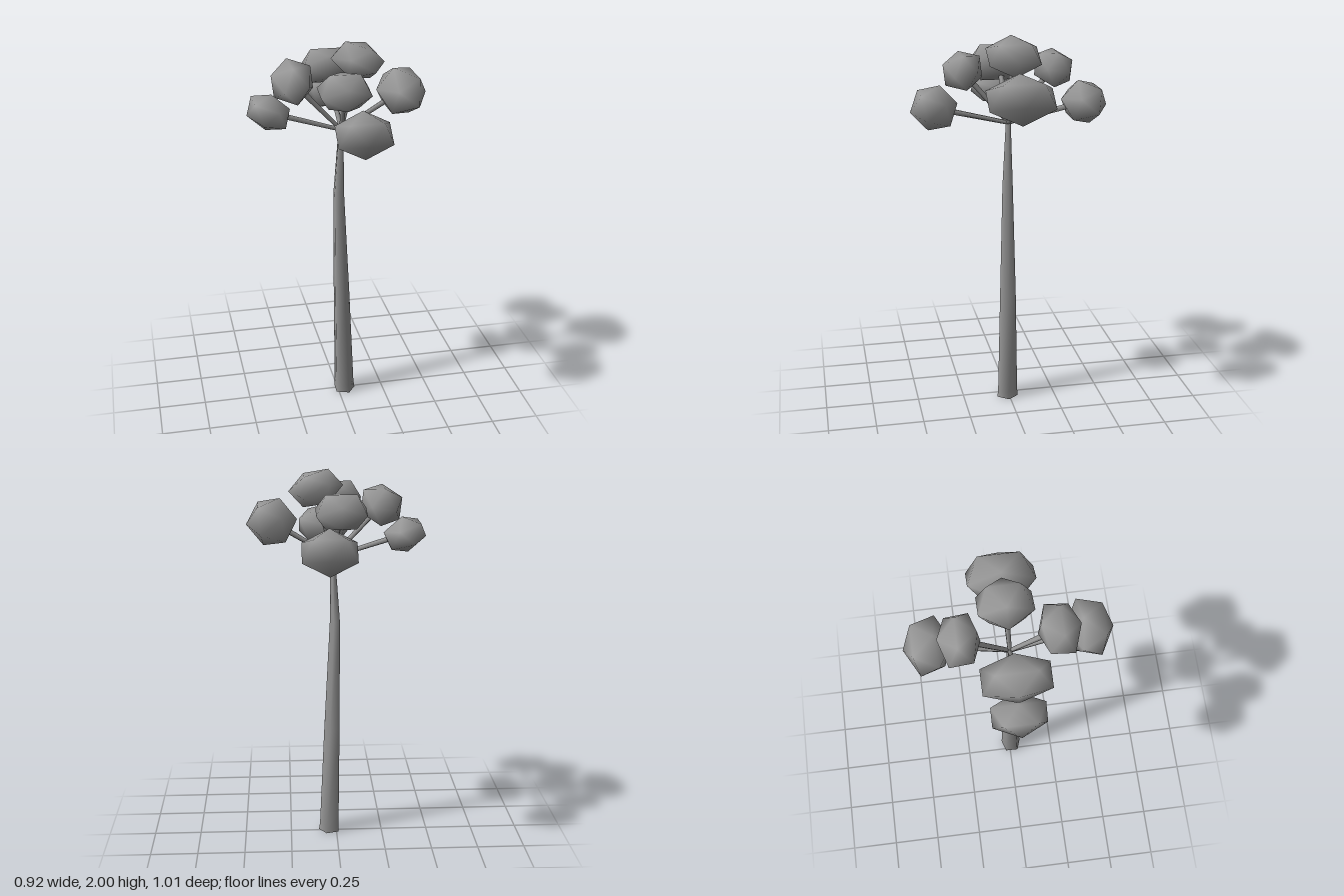
import * as THREE from 'three';
import { mergeVertices } from 'three/addons/utils/BufferGeometryUtils.js';

const V = (x, y, z) => new THREE.Vector3(x, y, z);

// Smooth-shaded twenty-sided blob with a face pointing up, sized by half extents
function clumpGeometry(reach, thick, side, turned) {
  let g = new THREE.IcosahedronGeometry(1, 0);
  g.deleteAttribute('normal');
  g.deleteAttribute('uv');
  g = mergeVertices(g, 1e-4);
  const up = V(1, 1, 1).normalize();
  const corner = V(0, 1, (1 + Math.sqrt(5)) / 2);
  const across = corner.addScaledVector(up, -corner.dot(up)).normalize().negate();
  const depth = across.clone().cross(up);
  g.applyMatrix4(new THREE.Matrix4().makeBasis(across, up, depth).transpose());
  if (turned) g.rotateY(Math.PI);
  g.scale(reach / 0.982, thick / 0.795, side / 0.85);
  g.computeVertexNormals();
  return g;
}

// Leaning trunk lofted through five-sided rings
function trunkGeometry() {
  const rings = [
    // y, centre x, centre z, radius
    [0, 0.036, 0.01, 0.06],
    [0.04, 0.034, 0.009, 0.056],
    [0.6, 0.02, 0.004, 0.045],
    [1.2, 0.005, 0.002, 0.029],
    [1.56, 0.018, 0, 0.013],
  ];
  const sides = 5, pos = [], idx = [];
  for (const [y, cx, cz, r] of rings) {
    for (let i = 0; i < sides; i++) {
      const a = (i / sides) * Math.PI * 2 + 0.3;
      pos.push(cx + r * Math.sin(a), y, cz + r * Math.cos(a));
    }
  }
  for (let k = 0; k < rings.length - 1; k++) {
    for (let i = 0; i < sides; i++) {
      const a = k * sides + i, b = k * sides + (i + 1) % sides;
      idx.push(a, b, b + sides, a, b + sides, a + sides);
    }
  }
  const g = new THREE.BufferGeometry();
  g.setAttribute('position', new THREE.Float32BufferAttribute(pos, 3));
  g.setIndex(idx);
  g.computeVertexNormals();
  return g;
}

export function createModel() {
  const grey = new THREE.MeshStandardMaterial({ color: 0x999999 });
  grey.name = 'grey';
  const group = new THREE.Group();
  group.name = 'tree';
  const add = (name, geometry) => {
    const m = new THREE.Mesh(geometry, grey);
    m.name = name;
    group.add(m);
    return m;
  };

  // Trunk and its flat base
  add('trunk', trunkGeometry());
  const base = add('trunkBase', new THREE.CircleGeometry(0.06, 5));
  base.geometry.rotateZ(-Math.PI / 2 + 0.3);
  base.geometry.rotateX(Math.PI / 2);
  base.geometry.rotateY(0);
  // line the base corners up with the lowest trunk ring
  const p = base.geometry.attributes.position;
  for (let i = 1; i < p.count; i++) {
    const a = -((i - 1) / 5) * Math.PI * 2 + 0.3;
    p.setXYZ(i, 0.06 * Math.sin(a), 0, 0.06 * Math.cos(a));
  }
  base.position.set(0.036, 0, 0.01);

  // Foliage: name, centre, heading, elevation (degrees), half extents, turned
  const clumps = [
    ['right', V(0.33, 1.73, -0.004), 0, 31, 0.125, 0.105, 0.165, true],
    ['top', V(0.105, 1.9, -0.01), 0, 76, 0.138, 0.078, 0.13, false],
    ['leftLow', V(-0.352, 1.66, -0.003), 180, 25, 0.09, 0.095, 0.13, true],
    ['leftHigh', V(-0.23, 1.812, 0), 180, 60, 0.118, 0.085, 0.162, true],
    ['frontLow', V(0.05, 1.645, 0.385), -90, 27, 0.115, 0.098, 0.135, true],
    ['backLow', V(0.05, 1.645, -0.388), 90, 27, 0.115, 0.098, 0.135, true],
    ['frontHigh', V(-0.013, 1.815, 0.228), -90, 60, 0.112, 0.08, 0.125, true],
    ['backHigh', V(-0.013, 1.815, -0.24), 90, 60, 0.112, 0.08, 0.125, true],
  ];
  const crown = V(0.018, 1.545, 0);
  for (const [name, centre, heading, elevation, reach, thick, side, turned] of clumps) {
    const leaf = add(name + 'Foliage', clumpGeometry(reach, thick, side, turned));
    leaf.rotation.order = 'YZX';
    leaf.rotation.y = THREE.MathUtils.degToRad(heading);
    leaf.rotation.z = THREE.MathUtils.degToRad(elevation - 90);
    leaf.position.copy(centre);

    // Branch from the crown to the clump
    const dir = centre.clone().sub(crown);
    const branch = add(name + 'Branch', new THREE.CylinderGeometry(0.016, 0.011, dir.length(), 5));
    branch.position.copy(crown).addScaledVector(dir, 0.5);
    branch.quaternion.setFromUnitVectors(V(0, 1, 0), dir.normalize());
  }
  return group;
}
